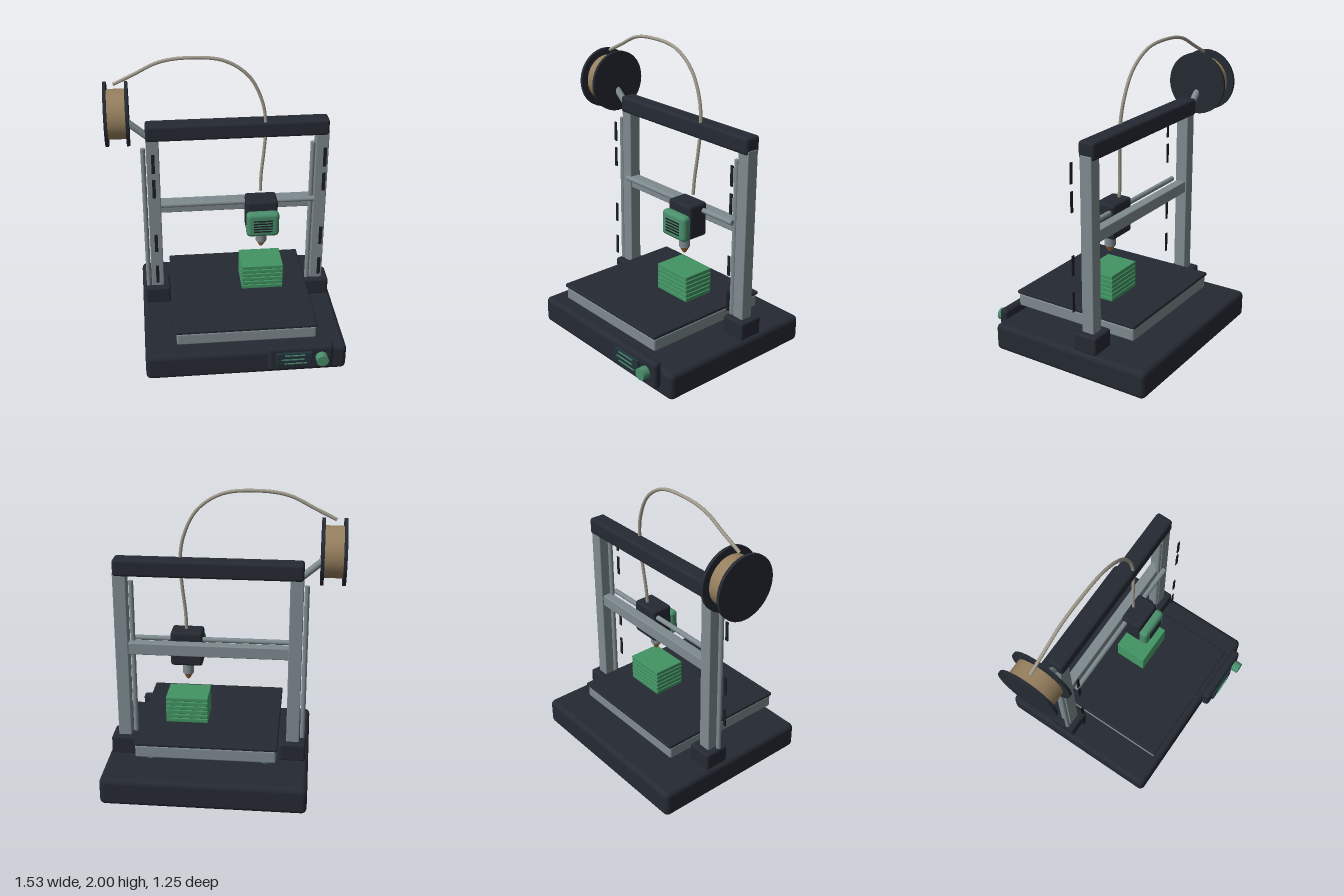
import * as THREE from 'three';
import { RoundedBoxGeometry } from 'three/addons/geometries/RoundedBoxGeometry.js';

const paint = (color) => new THREE.MeshStandardMaterial({ color });

export function createModel() {
  const model = new THREE.Group();
  const dark = paint(0x252a33), black = paint(0x1a1e24), steel = paint(0x7f8b90);
  const green = paint(0x4a8f6c), printGreen = paint(0x429463), brass = paint(0xa87440);
  const spoolBrown = paint(0x97805f), tubeGrey = paint(0xa09a8c), glass = paint(0x22323a);

  const add = (name, geometry, material, x = 0, y = 0, z = 0) => {
    const mesh = new THREE.Mesh(geometry, material);
    mesh.name = name;
    mesh.position.set(x, y, z);
    model.add(mesh);
    return mesh;
  };
  // Box given by its limits on each axis, optionally rounded
  const box = (name, material, [x0, x1], [y0, y1], [z0, z1], r = 0) => {
    const size = [x1 - x0, y1 - y0, z1 - z0];
    const geometry = r ? new RoundedBoxGeometry(...size, 3, r) : new THREE.BoxGeometry(...size);
    return add(name, geometry, material, (x0 + x1) / 2, (y0 + y1) / 2, (z0 + z1) / 2);
  };
  // Cylinder between two points
  const rod = (name, material, a, b, r, sides = 24) => {
    const from = new THREE.Vector3(...a), to = new THREE.Vector3(...b);
    const mesh = add(name, new THREE.CylinderGeometry(r, r, from.distanceTo(to), sides), material);
    mesh.position.copy(from).add(to).multiplyScalar(0.5);
    mesh.quaternion.setFromUnitVectors(new THREE.Vector3(0, 1, 0), to.sub(from).normalize());
    return mesh;
  };

  // Base
  box('base', dark, [-0.58, 0.76], [0, 0.187], [-0.628, 0.526], 0.035);

  // Control panel on the front
  box('controlPanel', dark, [0.225, 0.66], [0.055, 0.24], [0.512, 0.575], 0.025);
  box('screen', glass, [0.275, 0.515], [0.11, 0.207], [0.565, 0.59], 0.008);
  [[0.33, 0.465, 0.19], [0.31, 0.46, 0.157], [0.33, 0.48, 0.125]].forEach(([x0, x1, y]) =>
    box('screenLine', green, [x0, x1], [y - 0.004, y + 0.004], [0.585, 0.594]));
  rod('controlKnob', green, [0.578, 0.157, 0.57], [0.578, 0.157, 0.627], 0.04);

  // Heated bed with levelling knobs
  box('bedFrame', steel, [-0.37, 0.553], [0.247, 0.335], [-0.422, 0.485], 0.012);
  box('bedPlate', dark, [-0.378, 0.56], [0.335, 0.36], [-0.433, 0.493], 0.01);
  for (const x of [-0.298, 0.453])
    for (const z of [-0.34, 0.4])
      rod('levellingKnob', green, [x, 0.228, z], [x, 0.26, z], 0.05);

  // Printed block built from layers
  for (let i = 0; i < 6; i++) {
    const y = 0.377 + i * 0.0307;
    box('printLayer', printGreen, [0.102, 0.385], [y, y + 0.028], [-0.152, 0.07], 0.005);
  }

  // Uprights with feet, lift rods and slot marks
  for (const x of [-0.472, 0.655]) {
    box('foot', dark, [x - 0.086, x + 0.086], [0.18, 0.305], [-0.266, -0.095], 0.015);
    box('upright', steel, [x - 0.043, x + 0.043], [0.2, 1.46], [-0.222, -0.137], 0.006);
    rod('liftRod', steel, [x - 0.063, 0.25, -0.15], [x - 0.063, 1.38, -0.15], 0.016);
    for (const y of [0.462, 0.712, 1.133, 1.317])
      box('slotMark', black, [x - 0.011, x + 0.011], [y - 0.068, y + 0.068], [-0.047, -0.041]);
  }
  box('topBeam', dark, [-0.515, 0.695], [1.432, 1.545], [-0.238, -0.123], 0.02);

  // Cross beam and its guide rod
  box('crossBeam', steel, [-0.435, 0.62], [0.89, 0.97], [-0.212, -0.145], 0.006);
  rod('guideRod', steel, [-0.43, 0.972, -0.108], [0.61, 0.972, -0.108], 0.017);

  // Print head
  box('carriage', dark, [0.137, 0.347], [0.79, 1.025], [-0.14, 0.008], 0.018);
  box('fanCover', green, [0.132, 0.352], [0.787, 0.965], [-0.002, 0.066], 0.028);
  for (let i = 0; i < 5; i++) {
    const y = 0.832 + i * 0.02;
    box('ventSlat', black, [0.18, 0.305], [y - 0.004, y + 0.004], [0.06, 0.071]);
  }
  rod('heatBlock', steel, [0.243, 0.703, -0.042], [0.243, 0.8, -0.042], 0.037);
  add('nozzle', new THREE.CylinderGeometry(0.035, 0.011, 0.043, 24), brass, 0.243, 0.682, -0.042);

  // Spool on its arm
  const spool = { y: 1.62, z: -0.181 };
  for (const [x0, x1] of [[-0.768, -0.748], [-0.632, -0.612]])
    rod('spoolFlange', dark, [x0, spool.y, spool.z], [x1, spool.y, spool.z], 0.209, 48);
  rod('filamentRoll', spoolBrown, [-0.75, spool.y, spool.z], [-0.63, spool.y, spool.z], 0.162, 32);
  rod('spoolArm', steel, [-0.68, 1.607, spool.z], [-0.49, 1.442, spool.z], 0.023);

  // Filament feeding from the spool to the head
  const path = new THREE.CatmullRomCurve3([
    [-0.70, 1.825, -0.182], [-0.57, 1.888, -0.18], [-0.41, 1.965, -0.176], [-0.23, 1.989, -0.172],
    [0, 1.965, -0.166], [0.157, 1.86, -0.158], [0.245, 1.69, -0.15], [0.272, 1.52, -0.14],
    [0.262, 1.34, -0.131], [0.245, 1.17, -0.121], [0.241, 1.05, -0.113],
  ].map((p) => new THREE.Vector3(...p)));
  const feed = add('filament', new THREE.TubeGeometry(path, 80, 0.011, 10), tubeGrey);
  feed.material.side = THREE.DoubleSide;

  return model;
}
